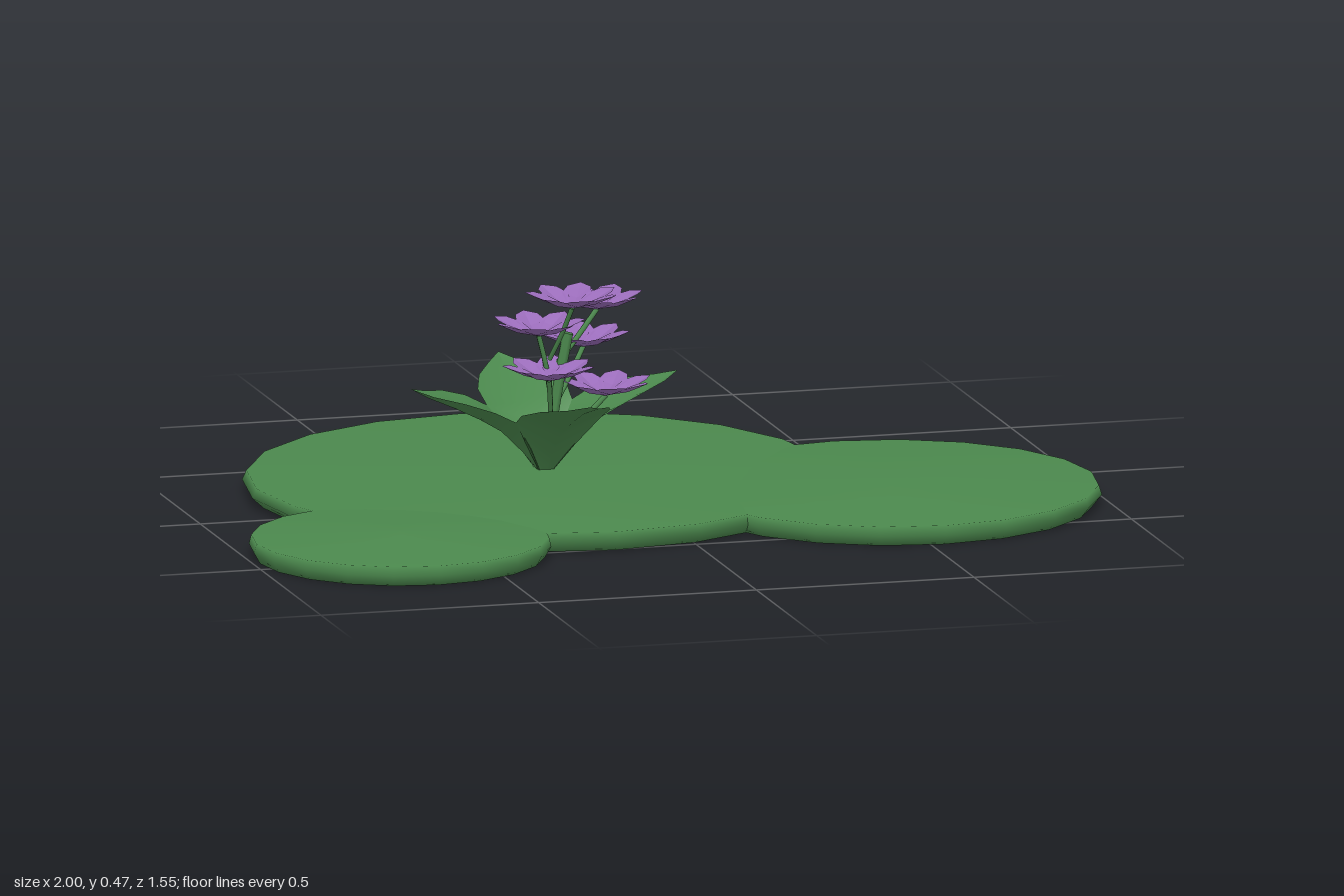
import * as THREE from 'three';

const green = new THREE.MeshStandardMaterial({ name: 'leafGreen', color: 0x4b884d, side: THREE.DoubleSide });
const purple = new THREE.MeshStandardMaterial({ name: 'petalPurple', color: 0x9a6cba, side: THREE.DoubleSide, flatShading: true });

function add(parent, name, geometry, material) {
  const mesh = new THREE.Mesh(geometry, material);
  mesh.name = name;
  parent.add(mesh);
  return mesh;
}

// Folded blade running along +z; each row is [distance, crease height, half width, edge rise]
function blade(rows) {
  const pos = [], index = [];
  rows.forEach(([d, y, w, rise], i) => {
    pos.push(-w, y + rise, d, 0, y, d, w, y + rise, d);
    if (i === 0) return;
    for (let k = 0; k < 2; k++) {
      const a = (i - 1) * 3 + k, b = a + 3;
      index.push(a, b, a + 1, a + 1, b, b + 1);
    }
  });
  const g = new THREE.BufferGeometry();
  g.setAttribute('position', new THREE.Float32BufferAttribute(pos, 3));
  g.setIndex(index);
  g.computeVertexNormals();
  return g;
}

// Thin round pad with a very shallow conical top
function pad(r) {
  const profile = [[0, 0], [0.96, 0], [1, 0.024], [0.985, 0.045], [0, 0.056]];
  return new THREE.LatheGeometry(profile.map(([x, y]) => new THREE.Vector2(x * r, y)), 20);
}

function stem(points, radius) {
  const curve = new THREE.CatmullRomCurve3(points.map(p => new THREE.Vector3(...p)));
  return new THREE.TubeGeometry(curve, 6, radius, 6);
}

export function createModel() {
  const model = new THREE.Group();
  model.name = 'floweringLilyPads';

  // Floating pads
  add(model, 'largePad', pad(0.657), green).position.set(-0.19, 0, -0.12);
  add(model, 'mediumPad', pad(0.47), green).position.set(0.53, 0, 0.195);
  add(model, 'smallPad', pad(0.335), green).position.set(-0.663, 0, 0.44);

  // Four arching leaves around the base
  const leafShape = blade([
    [0.01, 0.045, 0.012, 0], [0.05, 0.095, 0.055, 0.02], [0.1, 0.145, 0.1, 0.04], [0.15, 0.175, 0.104, 0.036],
    [0.21, 0.205, 0.08, 0.025], [0.27, 0.232, 0.038, 0.01], [0.313, 0.256, 0, 0],
  ]);
  for (let i = 0; i < 4; i++) {
    const leaf = add(model, 'leaf', leafShape, green);
    leaf.position.set(-0.178, 0, -0.117);
    leaf.rotation.y = i * Math.PI / 2 + 0.06;
  }

  // Main stem, with a branch to every blossom
  add(model, 'mainStem', stem([[-0.178, 0.04, -0.117], [-0.15, 0.22, -0.115], [-0.125, 0.36, -0.11]], 0.012), green);
  const blossoms = [
    [-0.135, 0.432, -0.038], [-0.045, 0.4, -0.158], [-0.195, 0.36, -0.1],
    [-0.065, 0.308, -0.2], [-0.185, 0.268, -0.05], [-0.035, 0.212, -0.12],
  ];
  const petalShape = blade([[0.004, 0, 0.006, 0], [0.055, 0.012, 0.034, 0.01], [0.085, 0.026, 0.026, 0.006], [0.106, 0.036, 0, 0]]);
  blossoms.forEach(([x, y, z], n) => {
    const fork = Math.max(0.09, y - 0.13);
    add(model, 'branch', stem([
      [-0.165, fork, -0.116], [(x - 0.16) / 2, (fork + y) / 2, (z - 0.116) / 2], [x, y, z],
    ], 0.006), green);

    // Cupped ring of folded petals
    const blossom = new THREE.Group();
    blossom.name = 'blossom';
    blossom.position.set(x, y, z);
    blossom.rotation.y = n * 0.7;
    for (let i = 0; i < 7; i++) {
      add(blossom, 'petal', petalShape, purple).rotation.y = i * Math.PI * 2 / 7;
    }
    model.add(blossom);
  });
  return model;
}
